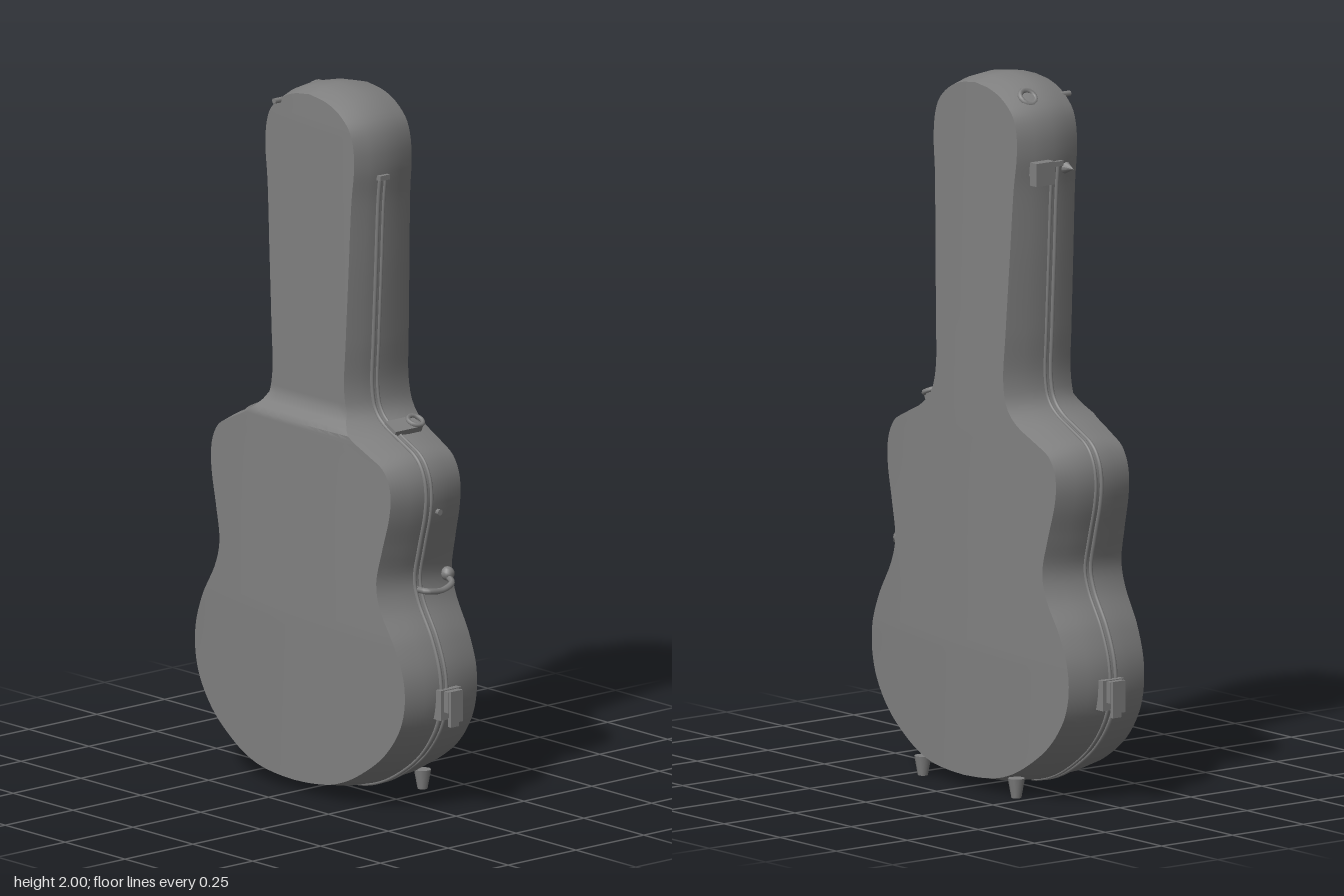
import * as THREE from 'three';
import { toCreasedNormals } from 'three/addons/utils/BufferGeometryUtils.js';

const V = (x, y, z) => new THREE.Vector3(x, y, z);

// Half outline as (half width, height), from the top of the head to the base
const outline = new THREE.CatmullRomCurve3([
  [0, 2], [0.07, 1.99], [0.13, 1.965], [0.18, 1.92], [0.2, 1.87], [0.205, 1.8], [0.195, 1.7],
  [0.185, 1.5], [0.175, 1.3], [0.17, 1.16], [0.185, 1.1], [0.22, 1.065], [0.29, 1.03], [0.355, 0.995],
  [0.385, 0.95], [0.395, 0.9], [0.39, 0.84], [0.365, 0.74], [0.347, 0.65], [0.362, 0.59], [0.42, 0.49],
  [0.453, 0.4], [0.457, 0.32], [0.44, 0.25], [0.405, 0.19], [0.36, 0.14], [0.3, 0.095], [0.23, 0.055],
  [0.16, 0.03], [0.08, 0.018], [0, 0.014]
].map(([z, y]) => V(0, y, z)), false, 'centripetal');

// Linear lookup through [height, value] pairs
function lookup(table, y) {
  for (let i = 1; i < table.length; i++) {
    const [y0, v0] = table[i - 1], [y1, v1] = table[i];
    if (y <= y1) return THREE.MathUtils.lerp(v0, v1, Math.max(0, (y - y0) / (y1 - y0)));
  }
  return table[table.length - 1][1];
}
const leftDepth = y => lookup([[0, 0.152], [0.4, 0.157], [1, 0.142], [1.3, 0.133], [2, 0.113]], y);
const rightDepth = y => lookup([[0, 0.157], [0.5, 0.16], [1.05, 0.145], [1.1, 0.107], [1.9, 0.102], [2, 0.098]], y);

// Shell: horizontal rings with bulging sides and gently domed faces
function shellGeometry() {
  const ROWS = 130, FACE = 10, sides = [1, 0.55, 0, -0.55, -1];
  const pos = [], idx = [];
  let ringSize = 0;
  for (let r = 0; r <= ROWS; r++) {
    const p = outline.getPointAt(r / ROWS), t = outline.getTangentAt(r / ROWS);
    const ring = [];
    const at = (f, k) => { // f: depth fraction, k: -1..1 across the width
      const inset = 0.02 * f * f;
      const z = Math.max(0, p.z + t.y * inset) * k;
      const y = p.y - t.z * inset;
      const dome = 0.026 * (z / 0.45) ** 2;
      ring.push([f * ((f > 0 ? leftDepth(y) : rightDepth(y)) - dome), y, z]);
    };
    sides.forEach(f => at(f, 1));
    for (let i = 1; i < FACE; i++) at(-1, 1 - 2 * i / FACE);
    [...sides].reverse().forEach(f => at(f, -1));
    for (let i = 1; i < FACE; i++) at(1, -1 + 2 * i / FACE);
    ringSize = ring.length;
    pos.push(...ring.flat());
  }
  for (let r = 0; r < ROWS; r++) {
    for (let i = 0; i < ringSize; i++) {
      const a = r * ringSize + i, c = r * ringSize + (i + 1) % ringSize;
      const b = a + ringSize, d = c + ringSize;
      idx.push(a, c, b, c, d, b);
    }
  }
  const g = new THREE.BufferGeometry();
  g.setAttribute('position', new THREE.Float32BufferAttribute(pos, 3));
  g.setIndex(idx);
  return toCreasedNormals(g, 0.6);
}

export function createModel() {
  const model = new THREE.Group();
  model.name = 'instrumentCase';
  const grey = new THREE.MeshStandardMaterial({ color: 0x808080 });
  grey.name = 'caseGrey';

  const add = (name, geo, x = 0, y = 0, z = 0, parent = model) => {
    const m = new THREE.Mesh(geo, grey);
    m.name = name;
    m.position.set(x, y, z);
    parent.add(m);
    return m;
  };
  const box = (name, w, h, d, x, y, z, parent) => add(name, new THREE.BoxGeometry(w, h, d), x, y, z, parent);
  const tube = (name, pts, r, parent) =>
    add(name, new THREE.TubeGeometry(new THREE.CatmullRomCurve3(pts), pts.length * 5, r, 6), 0, 0, 0, parent);

  add('shell', shellGeometry());

  // Seam lips along both edges, stopping below the head
  for (const s of [1, -1]) {
    const pts = outline.getSpacedPoints(90).filter(p => p.y < 1.77 && p.z > 0.1);
    for (const [x, r] of [[-0.018, 0.006], [0.002, 0.005]]) {
      tube('seamLip', pts.map(p => V(x, p.y, s * p.z)), r);
    }
    box('seamEnd', 0.035, 0.014, 0.018, -0.01, 1.768, s * 0.206);
  }

  // Lower side latches
  for (const s of [1, -1]) {
    const latch = new THREE.Group();
    latch.name = 'sideLatch';
    model.add(latch);
    box('latchBase', 0.075, 0.085, 0.03, 0.003, 0.315, s * 0.46, latch);
    box('latchBlock', 0.05, 0.06, 0.035, 0.003, 0.325, s * 0.475, latch);
    box('latchLever', 0.045, 0.09, 0.008, 0.003, 0.312, s * 0.496, latch);
    box('latchTip', 0.03, 0.025, 0.012, 0.003, 0.265, s * 0.486, latch);
  }

  // Carry handle hanging at the waist
  tube('handle', [V(-0.01, 0.62, 0.35), V(-0.005, 0.62, 0.385), V(0.045, 0.615, 0.388),
    V(0.09, 0.628, 0.38), V(0.105, 0.64, 0.335)], 0.009);
  add('handleKnob', new THREE.SphereGeometry(0.02, 10, 8), 0.105, 0.645, 0.345);
  add('waistHook', new THREE.CylinderGeometry(0.009, 0.009, 0.03, 8), 0.03, 0.842, 0.385).rotation.x = Math.PI / 2;

  // Shoulder latch with its loop
  const shoulder = new THREE.Group();
  shoulder.name = 'shoulderLatch';
  shoulder.position.set(0.03, 1.058, 0.245);
  shoulder.rotation.x = 0.45;
  model.add(shoulder);
  box('latchPlate', 0.1, 0.018, 0.05, 0, 0, 0, shoulder);
  const loop = add('latchLoop', new THREE.TorusGeometry(0.022, 0.007, 6, 14), 0.04, 0.012, 0, shoulder);
  loop.rotation.x = Math.PI / 2;

  // Neck latch and catch at the back
  box('neckLatchArm', 0.05, 0.03, 0.04, 0.05, 1.755, -0.205);
  box('neckLatchBlock', 0.065, 0.065, 0.03, 0.053, 1.75, -0.222);
  add('neckCatch', new THREE.ConeGeometry(0.024, 0.05, 10), -0.05, 1.75, -0.205).rotation.x = -Math.PI / 2;

  // Head loop and pin
  const headLoop = add('headLoop', new THREE.TorusGeometry(0.024, 0.008, 6, 14), 0.04, 1.95, -0.14);
  headLoop.rotation.x = Math.PI / 2 - 0.8;
  add('headPin', new THREE.CylinderGeometry(0.008, 0.008, 0.05, 8), -0.095, 1.94, -0.125).rotation.z = Math.PI / 2;

  // Feet on the lower left edge
  for (const s of [1, -1]) {
    const foot = add('foot', new THREE.CylinderGeometry(0.024, 0.014, 0.055, 10), 0.134, 0.0275, s * 0.208);
    foot.rotation.y = 0.3;
  }
  return model;
}
